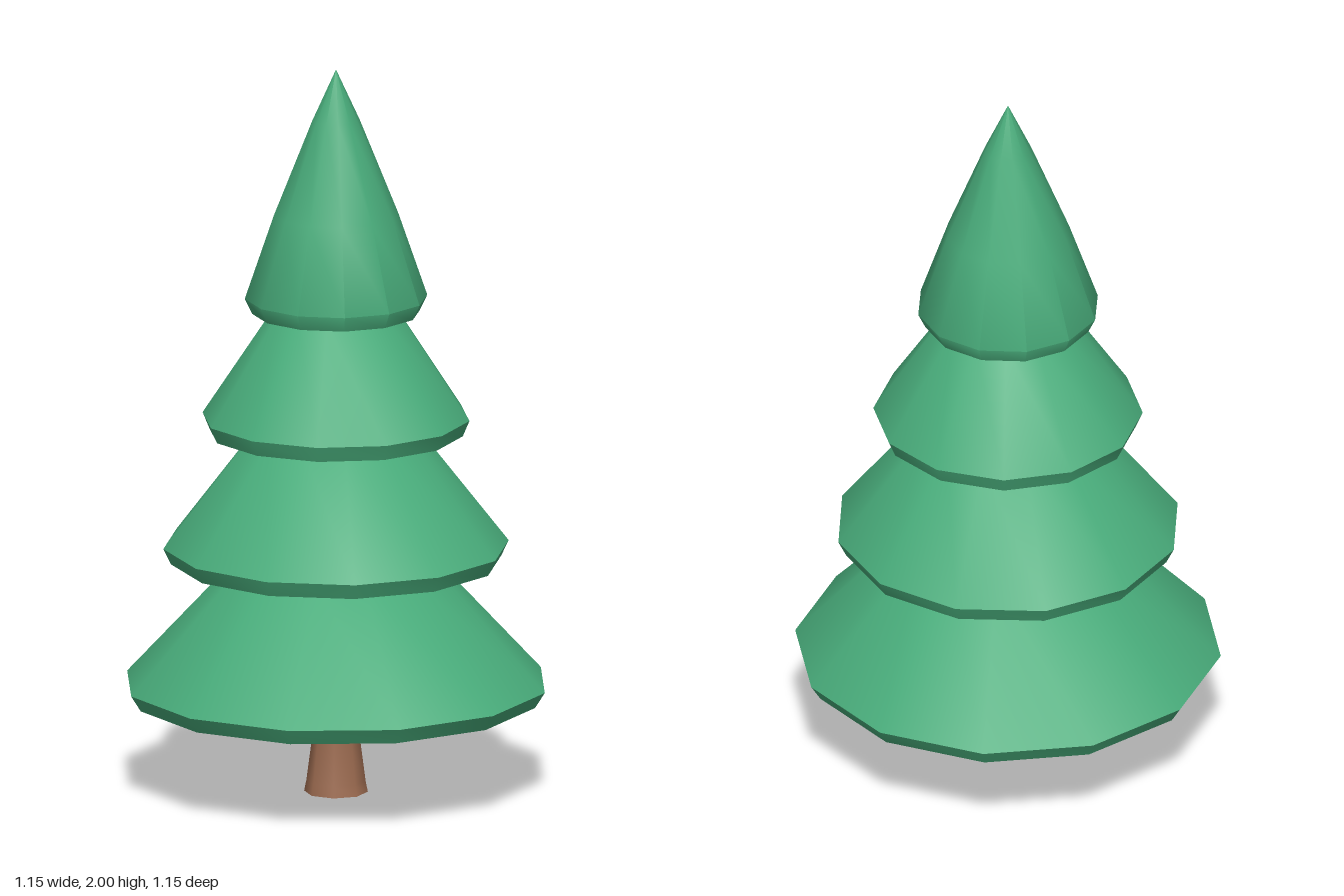
import * as THREE from 'three';
import { toCreasedNormals } from 'three/addons/utils/BufferGeometryUtils.js';

const foliage = new THREE.MeshStandardMaterial({ color: 0x48ab7a });
foliage.name = 'foliage green';
const bark = new THREE.MeshStandardMaterial({ color: 0x9c6b50 });
bark.name = 'bark brown';

// Turned part from [radius, y] points, bottom to top, with one corner at the given turn
function turned(name, profile, sides, turnDegrees, material) {
  const points = profile.map(([r, y]) => new THREE.Vector2(r, y));
  const lathe = new THREE.LatheGeometry(points, sides, THREE.MathUtils.degToRad(turnDegrees));
  const mesh = new THREE.Mesh(toCreasedNormals(lathe, 0.9), material);
  mesh.name = name;
  return mesh;
}

export function createModel() {
  const tree = new THREE.Group();
  tree.name = 'pineTree';

  // Flared trunk
  tree.add(turned('trunk',
    [[0, 0], [0.086, 0], [0.08, 0.03], [0.067, 0.13], [0.06, 0.22], [0.06, 0.3], [0, 0.3]],
    8, 10, bark));

  // Skirts: flat underside, bevelled rim, slope running up inside the tier above
  const skirts = [
    { name: 'bottomSkirt', base: 0.26, rim: 0.577, under: 0.55, neck: 0.262, neckY: 0.645, turn: 1.5 },
    { name: 'lowerSkirt', base: 0.64, rim: 0.468, under: 0.447, neck: 0.222, neckY: 1.0, turn: -9.3 },
    { name: 'upperSkirt', base: 0.995, rim: 0.363, under: 0.345, neck: 0.168, neckY: 1.335, turn: 6.3 },
  ];
  for (const s of skirts) {
    tree.add(turned(s.name,
      [[0, s.base], [s.under, s.base], [s.rim, s.base + 0.043], [s.neck, s.neckY], [0, s.neckY + 0.08]],
      12, s.turn, foliage));
  }

  // Pointed crown
  tree.add(turned('crown',
    [[0, 1.328], [0.227, 1.328], [0.247, 1.37], [0.168, 1.6], [0.064, 1.86], [0, 2]],
    12, -10, foliage));

  return tree;
}
